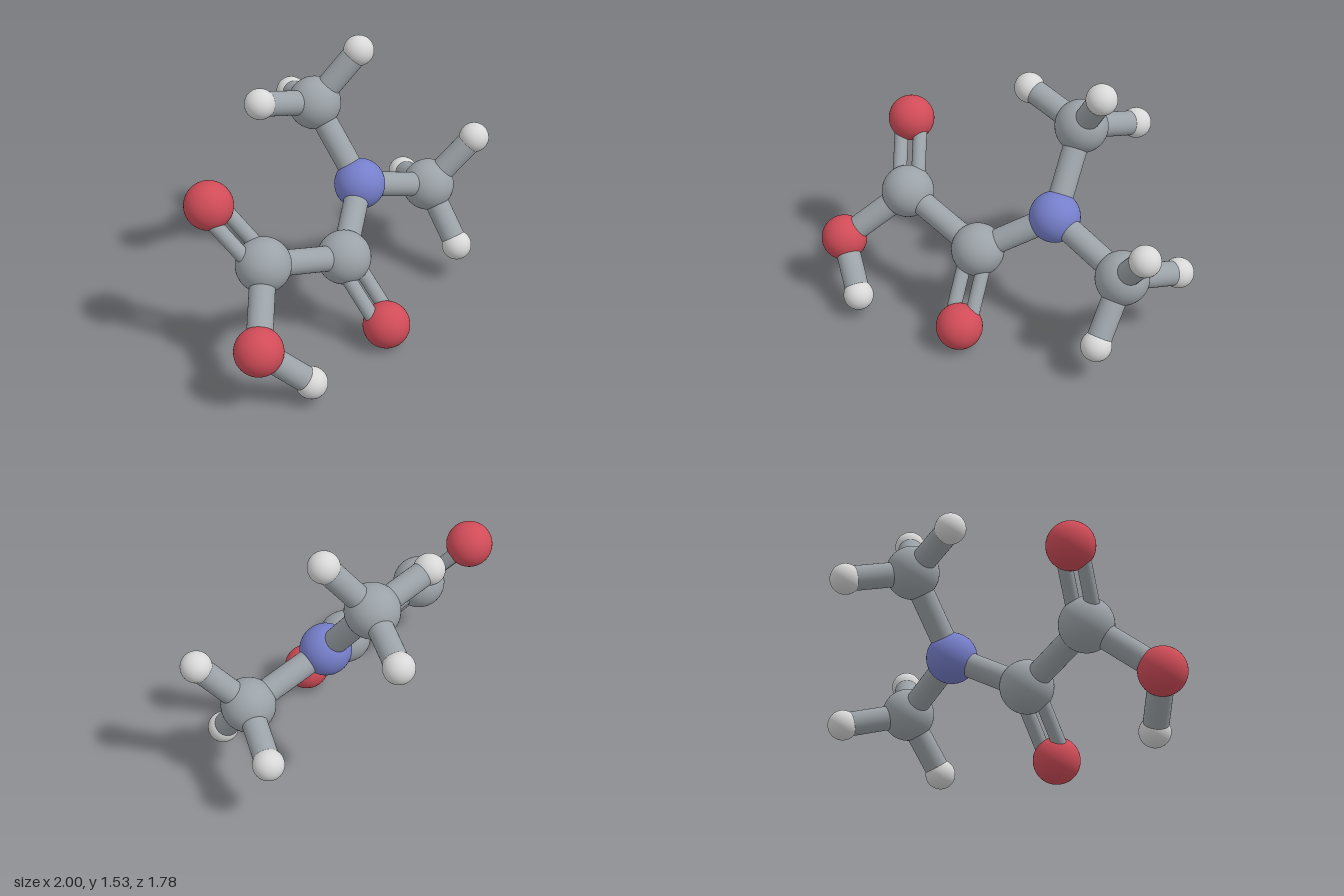
import * as THREE from 'three';

const mat = (name, color) => {
  const m = new THREE.MeshStandardMaterial({ color });
  m.name = name;
  return m;
};

export function createModel() {
  const group = new THREE.Group();
  const grey = mat('grey', 0x9ca3a8);
  const kinds = {
    carbon: { r: 0.153, m: grey },
    oxygen: { r: 0.134, m: mat('red', 0xd04c58) },
    nitrogen: { r: 0.147, m: mat('blue', 0x767fcb) },
    hydrogen: { r: 0.088, m: mat('white', 0xd8d8d8) },
  };

  // Atom centres
  const atoms = {
    acidCarbon: ['carbon', -0.634, 0.656, 0.382],
    acidOxygen: ['oxygen', -0.868, 0.983, 0.206],
    hydroxylOxygen: ['oxygen', -0.799, 0.367, 0.735],
    hydroxylHydrogen: ['hydrogen', -0.531, 0.135, 0.802],
    amideCarbon: ['carbon', -0.104, 0.491, 0.237],
    amideOxygen: ['oxygen', 0.056, 0.139, 0.47],
    nitrogen: ['nitrogen', 0.147, 0.722, -0.122],
    upperCarbon: ['carbon', -0.013, 1.142, -0.411],
    upperHydrogenLeft: ['hydrogen', -0.383, 1.251, -0.306],
    upperHydrogenTop: ['hydrogen', 0.239, 1.447, -0.357],
    upperHydrogenBack: ['hydrogen', -0.008, 1.041, -0.798],
    sideCarbon: ['carbon', 0.643, 0.551, -0.233],
    sideHydrogenTop: ['hydrogen', 0.906, 0.844, -0.172],
    sideHydrogenLow: ['hydrogen', 0.73, 0.235, -0.002],
    sideHydrogenBack: ['hydrogen', 0.66, 0.441, -0.622],
  };
  const pos = {};
  for (const [name, [kind, x, y, z]] of Object.entries(atoms)) {
    pos[name] = new THREE.Vector3(x, y, z);
    const ball = new THREE.Mesh(new THREE.SphereGeometry(kinds[kind].r, 48, 32), kinds[kind].m);
    ball.name = name;
    ball.position.copy(pos[name]);
    group.add(ball);
  }

  // A rod between two points
  const up = new THREE.Vector3(0, 1, 0);
  const rod = (name, a, b, r) => {
    const dir = b.clone().sub(a);
    const mesh = new THREE.Mesh(new THREE.CylinderGeometry(r, r, dir.length(), 32), grey);
    mesh.name = name;
    mesh.position.copy(a).add(b).multiplyScalar(0.5);
    mesh.quaternion.setFromUnitVectors(up, dir.normalize());
    group.add(mesh);
  };

  // Single bonds
  const singles = [
    ['acidCarbon', 'hydroxylOxygen'], ['hydroxylOxygen', 'hydroxylHydrogen'],
    ['acidCarbon', 'amideCarbon'], ['amideCarbon', 'nitrogen'],
    ['nitrogen', 'upperCarbon'], ['nitrogen', 'sideCarbon'],
    ...['Left', 'Top', 'Back'].map((s) => ['upperCarbon', 'upperHydrogen' + s]),
    ...['Top', 'Low', 'Back'].map((s) => ['sideCarbon', 'sideHydrogen' + s]),
  ];
  for (const [a, b] of singles) rod('singleBond', pos[a], pos[b], 0.071);

  // Double bonds: paired rods lying in the plane of the neighbouring atoms
  const doubles = [
    ['acidCarbon', 'acidOxygen', 'hydroxylOxygen', 'amideCarbon'],
    ['amideCarbon', 'amideOxygen', 'acidCarbon', 'nitrogen'],
  ];
  for (const [a, b, n1, n2] of doubles) {
    const dir = pos[b].clone().sub(pos[a]).normalize();
    const across = pos[n2].clone().sub(pos[n1]);
    across.addScaledVector(dir, -across.dot(dir)).normalize();
    for (const s of [-1, 1]) {
      const off = across.clone().multiplyScalar(0.06 * s);
      rod('doubleBond', pos[a].clone().add(off), pos[b].clone().add(off), 0.041);
    }
  }
  return group;
}
